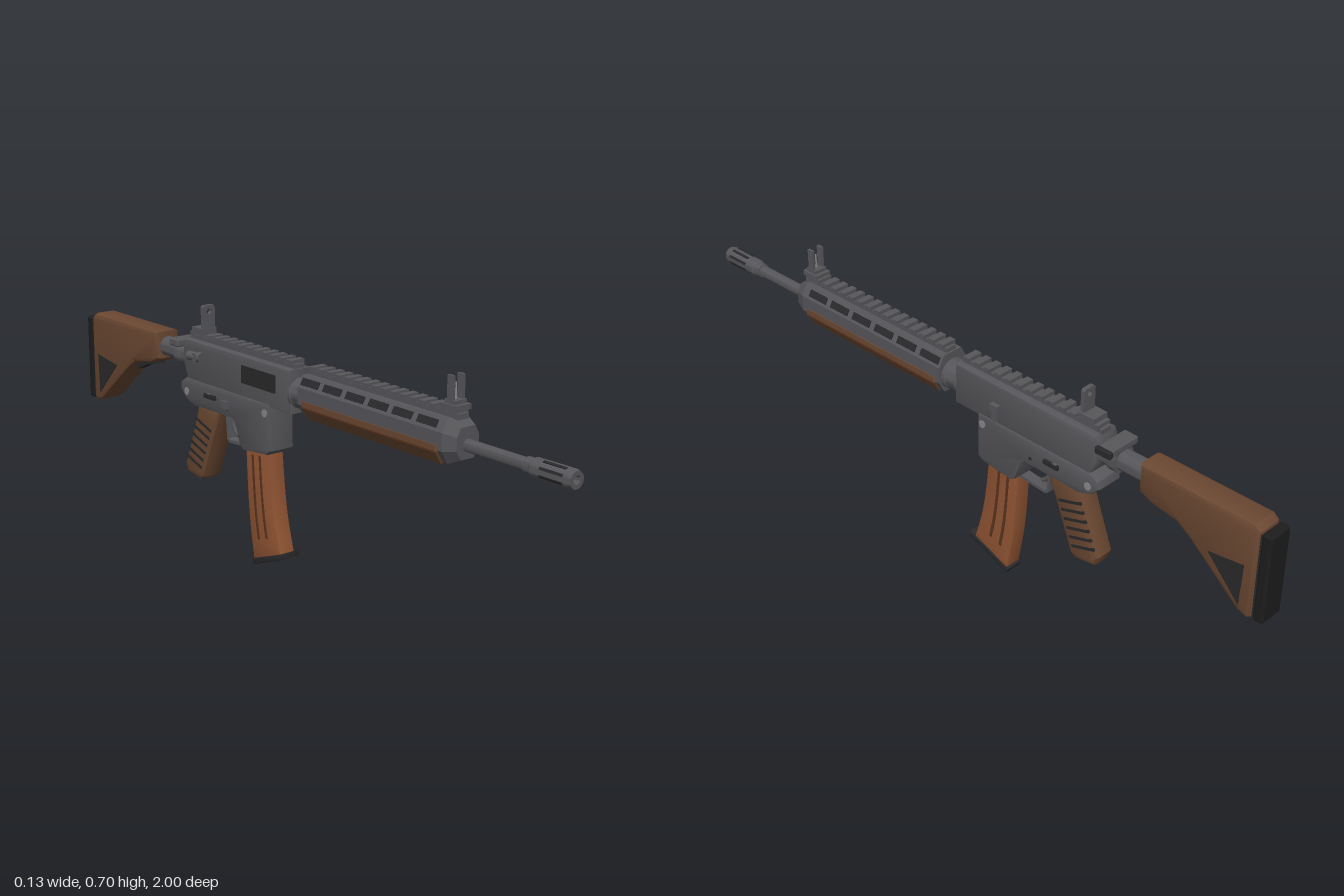
import * as THREE from 'three';
import { toCreasedNormals } from 'three/addons/utils/BufferGeometryUtils.js';
import { RoundedBoxGeometry } from 'three/addons/geometries/RoundedBoxGeometry.js';

const mat = (name, color) => Object.assign(new THREE.MeshStandardMaterial({ color }), { name });

export function createModel() {
  const root = new THREE.Group();
  const metal = mat('grey metal', 0x57575b);
  const dark = mat('dark metal', 0x29292b);
  const rubber = mat('black rubber', 0x1d1d1d);
  const wood = mat('brown wood', 0x6b4832);
  const magWood = mat('orange wood', 0x905433);
  const groove = mat('dark wood groove', 0x5a3420);
  const steel = mat('light steel', 0x88888b);

  const add = (name, geo, material, x = 0, y = 0, z = 0) => {
    const m = new THREE.Mesh(geo, material);
    m.name = name;
    m.position.set(x, y, z);
    root.add(m);
    return m;
  };
  const box = (name, material, w, h, d, x, y, z) => add(name, new THREE.BoxGeometry(w, h, d), material, x, y, z);
  const shapeOf = pts => new THREE.Shape(pts.map(p => new THREE.Vector2(p[0], p[1])));

  // Side profile given as [z, y], extruded across x with bevelled edges
  const side = (name, material, pts, width, bevel = 0, x = 0) => {
    const geo = new THREE.ExtrudeGeometry(shapeOf(pts), {
      depth: width - 2 * bevel, bevelEnabled: bevel > 0, bevelSize: bevel,
      bevelThickness: bevel, bevelOffset: -bevel, bevelSegments: 2,
    });
    geo.translate(0, 0, -width / 2 + bevel).rotateY(-Math.PI / 2).scale(1, 1, 1);
    return add(name, toCreasedNormals(geo, 0.6), material, x);
  };
  // Turned part along z, points are [radius, z]
  const turned = (name, material, pts, y) => {
    const geo = new THREE.LatheGeometry(pts.map(p => new THREE.Vector2(p[0], p[1])), 24);
    geo.rotateX(Math.PI / 2);
    return add(name, toCreasedNormals(geo, 0.6), material, 0, y);
  };
  // Round pin along x
  const pin = (name, material, r, len, x, y, z) =>
    add(name, new THREE.CylinderGeometry(r, r, len, 16).rotateZ(Math.PI / 2), material, x, y, z);

  // Barrel and muzzle
  const axis = 0.535;
  turned('barrel', metal, [[0.016, 0.6], [0.016, 0.87]], axis);
  turned('muzzle', metal, [[0.015, 0.85], [0.02, 0.85], [0.02, 0.87], [0.024, 0.875],
    [0.025, 0.99], [0.022, 1], [0.011, 1], [0.011, 0.97], [0, 0.97]], axis);
  turned('bore', dark, [[0.0108, 0.972], [0, 0.973]], axis);
  for (let i = 0; i < 8; i++) {
    const a = (i + 0.5) * Math.PI / 4;
    box('muzzleSlot', dark, 0.007, 0.004, 0.07, Math.cos(a) * 0.0245, axis + Math.sin(a) * 0.0245, 0.942)
      .rotation.z = a - Math.PI / 2;
  }

  // Handguard: octagonal tube with a tapered nose
  const cy = 0.541;
  const octagon = [[-0.03, -0.056], [0.03, -0.056], [0.05, -0.022], [0.05, 0.024],
    [0.032, 0.056], [-0.032, 0.056], [-0.05, 0.024], [-0.05, -0.022]];
  const tube = new THREE.ExtrudeGeometry(shapeOf(octagon), { depth: 0.55, bevelEnabled: false });
  add('handguard', tube, metal, 0, cy, 0.065);
  const nose = new THREE.ExtrudeGeometry(shapeOf(octagon), { depth: 0.037, bevelEnabled: false });
  const np = nose.attributes.position;
  for (let i = 0; i < np.count; i++) {
    if (np.getZ(i) > 0.01) np.setXY(i, np.getX(i) * 0.72, np.getY(i) * 0.72);
  }
  nose.computeVertexNormals();
  add('handguardNose', nose, metal, 0, cy, 0.615);

  // Vent slots on the upper chamfers
  for (const s of [-1, 1]) for (let i = 0; i < 6; i++) {
    box('ventSlot', dark, 0.005, 0.02, 0.07, s * 0.041, cy + 0.04, 0.555 - i * 0.0895)
      .rotation.z = s * 0.512;
  }

  // Wooden lower handguard wrapped around the tube
  const cradle = [[-0.053, 0.532], [-0.053, 0.515], [-0.032, 0.48], [0.032, 0.48], [0.053, 0.515], [0.053, 0.532]];
  const cradleGeo = new THREE.ExtrudeGeometry(shapeOf(cradle), {
    depth: 0.51, bevelEnabled: true, bevelSize: 0.004, bevelOffset: -0.004, bevelThickness: 0.005, bevelSegments: 1,
  });
  add('woodHandguard', cradleGeo, wood, 0, 0, 0.085);
  for (const s of [-1, 1]) box('woodLip', groove, 0.004, 0.004, 0.51, s * 0.053, 0.515, 0.34);

  // Barrel nut between handguard and receiver
  turned('barrelNut', metal, [[0, 0.01], [0.043, 0.01], [0.043, 0.018], [0.039, 0.022], [0.039, 0.052],
    [0.043, 0.056], [0.043, 0.067]], 0.533);

  // Toothed rails
  const rail = (z0, z1) => {
    box('railBase', metal, 0.034, 0.014, z0 - z1, 0, 0.602, (z0 + z1) / 2);
    const n = Math.round((z0 - z1) / 0.036);
    for (let i = 0; i < n; i++) {
      box('railTooth', metal, 0.046, 0.013, 0.02, 0, 0.613, z0 - (i + 0.5) * (z0 - z1) / n);
    }
  };
  rail(0.635, 0.07);
  rail(0.01, -0.47);

  // Upper receiver
  side('upperReceiver', metal, [[0.017, 0.598], [-0.468, 0.598], [-0.476, 0.58], [-0.476, 0.525],
    [-0.455, 0.478], [0.017, 0.478]], 0.078, 0.007);
  // Lower receiver with magazine well
  side('lowerReceiver', metal, [[-0.07, 0.487], [-0.07, 0.355], [-0.085, 0.342], [-0.19, 0.332], [-0.205, 0.342],
    [-0.228, 0.405], [-0.24, 0.412], [-0.425, 0.41], [-0.465, 0.425], [-0.49, 0.45], [-0.485, 0.472], [-0.46, 0.487]],
    0.086, 0.007);

  // Receiver controls
  box('ejectionPort', dark, 0.006, 0.05, 0.15, -0.0385, 0.548, -0.12);
  pin('forwardAssist', metal, 0.013, 0.03, -0.047, 0.56, -0.39);
  const knob = add('forwardAssistKnob', new THREE.CylinderGeometry(0.013, 0.013, 0.05, 16).rotateX(Math.PI / 2),
    metal, -0.051, 0.56, -0.4);
  knob.rotation.y = 0.15;
  box('boltCatch', metal, 0.014, 0.045, 0.014, 0.043, 0.515, -0.135);
  box('boltCatchPad', metal, 0.018, 0.02, 0.028, 0.043, 0.533, -0.135);
  box('magazineRelease', metal, 0.014, 0.022, 0.028, -0.044, 0.447, -0.265);
  for (const s of [-1, 1]) {
    pin('selectorHub', metal, 0.009, 0.01, s * 0.045, 0.455, -0.345);
    box('selectorLever', dark, 0.008, 0.012, 0.05, s * 0.048, 0.455, -0.335);
    pin('frontPin', steel, 0.011, 0.006, s * 0.042, 0.46, -0.088);
    pin('rearPin', steel, 0.011, 0.006, s * 0.042, 0.447, -0.455);
    pin('triggerPin', dark, 0.005, 0.004, s * 0.042, 0.435, -0.26);
  }
  add('chargingHandle', new RoundedBoxGeometry(0.1, 0.022, 0.045, 2, 0.005), metal, 0, 0.58, -0.51);
  add('chargingLatch', new RoundedBoxGeometry(0.014, 0.02, 0.05, 2, 0.004), dark, 0.054, 0.581, -0.51);

  // Trigger and guard
  const triggerPath = new THREE.CatmullRomCurve3([[-0.285, 0.415], [-0.29, 0.385], [-0.283, 0.365], [-0.266, 0.35]]
    .map(p => new THREE.Vector3(0, p[1], p[0])));
  add('trigger', new THREE.TubeGeometry(triggerPath, 12, 0.006, 8), metal);
  side('triggerGuard', metal, [[-0.2, 0.342], [-0.2, 0.332], [-0.29, 0.326], [-0.3, 0.334], [-0.307, 0.412],
    [-0.299, 0.412], [-0.293, 0.338], [-0.286, 0.335]], 0.03);

  // Grip with slanted grooves
  side('grip', wood, [[-0.305, 0.415], [-0.415, 0.415], [-0.438, 0.35], [-0.486, 0.225], [-0.478, 0.2],
    [-0.415, 0.19], [-0.395, 0.2], [-0.375, 0.25], [-0.335, 0.35]], 0.066, 0.012);
  for (const s of [-1, 1]) for (let i = 0; i < 6; i++) {
    box('gripGroove', dark, 0.006, 0.008, 0.078, s * 0.0315, 0.36 - i * 0.024, -0.39 - i * 0.01).rotation.x = 0.32;
  }

  // Curved magazine: front and rear edges swept down
  const edge = (f) => {
    const pts = [[-0.095, -0.2, 0.36, 0.35], [-0.083, -0.193, 0.24, 0.215], [-0.068, -0.183, 0.15, 0.115], [-0.042, -0.165, 0.055, 0.012]];
    return new THREE.SplineCurve(pts.map(([a, b, ya, yb]) =>
      new THREE.Vector2(a + (b - a) * f, ya + (yb - ya) * f))).getPoints(10).map(v => [v.x, v.y]);
  };
  side('magazine', magWood, [...edge(0), ...edge(1).reverse()], 0.05, 0.005);
  for (const s of [-1, 1]) for (const f of [0.36, 0.66]) {
    side('magazineRib', groove, [...edge(f).slice(1, 9), ...edge(f + 0.07).slice(1, 9).reverse()], 0.004, 0, s * 0.025);
  }
  side('magazineBase', dark, [[-0.027, 0.07], [-0.027, 0.054], [-0.165, 0], [-0.174, 0.016]], 0.056, 0.003);

  // Stock tube and stock
  turned('stockTube', metal, [[0.029, -0.64], [0.029, -0.47]], 0.545);
  turned('castleNut', metal, [[0.029, -0.53], [0.037, -0.53], [0.037, -0.505], [0.034, -0.5], [0.034, -0.47]], 0.545);
  side('stock', wood, [[-0.61, 0.59], [-0.95, 0.59], [-0.968, 0.575], [-0.968, 0.325], [-0.955, 0.315], [-0.925, 0.325],
    [-0.775, 0.45], [-0.73, 0.48], [-0.65, 0.492], [-0.61, 0.51]], 0.08, 0.012);
  side('stockLever', dark, [[-0.65, 0.496], [-0.65, 0.486], [-0.7, 0.475], [-0.755, 0.45], [-0.765, 0.462], [-0.73, 0.485]], 0.03);
  for (const s of [-1, 1]) {
    side('stockTriangle', dark, [[-0.83, 0.45], [-0.935, 0.465], [-0.93, 0.345]], 0.004, 0, s * 0.0395);
  }
  add('buttPad', new RoundedBoxGeometry(0.074, 0.255, 0.03, 2, 0.008), rubber, 0, 0.447, -0.985);
  box('buttPlate', dark, 0.066, 0.24, 0.014, 0, 0.447, -0.968);

  // Front sight: base, two ears and a centre post
  box('frontSightBase', metal, 0.05, 0.014, 0.056, 0, 0.623, 0.607);
  box('frontSightBlock', metal, 0.04, 0.012, 0.035, 0, 0.634, 0.607);
  for (const s of [-1, 1]) box('frontSightEar', metal, 0.007, 0.066, 0.02, s * 0.0165, 0.667, 0.607);
  add('frontSightPost', new THREE.CylinderGeometry(0.002, 0.003, 0.042, 8), steel, 0, 0.66, 0.607);

  // Rear sight: plate with a round aperture
  box('rearSightBase', metal, 0.05, 0.018, 0.05, 0, 0.625, -0.425);
  const plate = shapeOf([[-0.02, 0.63], [0.02, 0.63], [0.02, 0.695], [0.015, 0.7], [-0.015, 0.7], [-0.02, 0.695]]);
  plate.holes.push(new THREE.Path().absarc(0, 0.682, 0.008, 0, Math.PI * 2, true));
  add('rearSightPlate', new THREE.ExtrudeGeometry(plate, { depth: 0.012, bevelEnabled: false }), metal, 0, 0, -0.413);

  return root;
}
